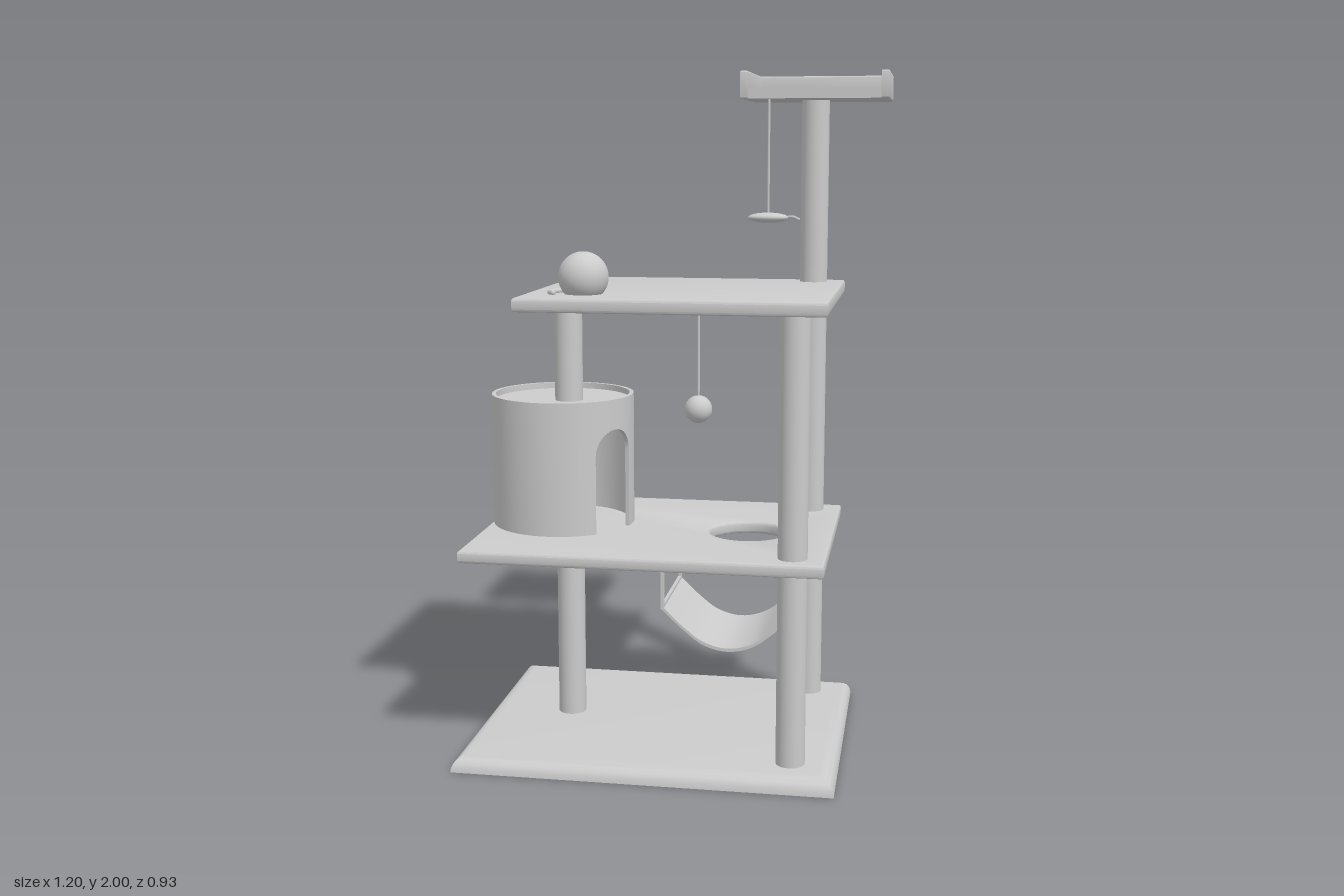
import * as THREE from 'three';
import { toCreasedNormals } from 'three/addons/utils/BufferGeometryUtils.js';
import { ConvexGeometry } from 'three/addons/geometries/ConvexGeometry.js';

const V = (x, y, z) => new THREE.Vector3(x, y, z);

export function createModel() {
  const group = new THREE.Group();
  const grey = new THREE.MeshStandardMaterial({ color: 0xcccccc });

  const add = (name, geo, x = 0, y = 0, z = 0) => {
    const mesh = new THREE.Mesh(geo, grey);
    mesh.name = name;
    mesh.position.set(x, y, z);
    group.add(mesh);
    return mesh;
  };
  const box = (name, x0, x1, y0, y1, z0, z1) =>
    add(name, new THREE.BoxGeometry(x1 - x0, y1 - y0, z1 - z0), (x0 + x1) / 2, (y0 + y1) / 2, (z0 + z1) / 2);
  const rod = (name, r, x, z, y0, y1, sides = 32) =>
    add(name, new THREE.CylinderGeometry(r, r, y1 - y0, sides), x, (y0 + y1) / 2, z);

  // Horizontal slab with softened edges: outline in (x, z), optional round hole
  const slab = (name, outline, y0, y1, bevel, hole) => {
    const shape = new THREE.Shape(outline.map(([x, z]) => new THREE.Vector2(x, z)));
    if (hole) shape.holes.push(new THREE.Path().absarc(hole.x, hole.z, hole.r + bevel, 0, Math.PI * 2, true));
    const geo = new THREE.ExtrudeGeometry(shape, {
      depth: y1 - y0 - 2 * bevel, bevelThickness: bevel, bevelSize: bevel, bevelSegments: 3, curveSegments: 32,
    });
    geo.rotateX(Math.PI / 2);
    return add(name, toCreasedNormals(geo, 0.6), 0, y1 - bevel, 0);
  };
  const rect = (x0, x1, z0, z1, inset = 0) => [
    [x0 + inset, z0 + inset], [x1 - inset, z0 + inset], [x1 - inset, z1 - inset], [x0 + inset, z1 - inset],
  ];

  // Base with rounded, mitred top edge
  const basePoints = [];
  for (let i = 0; i <= 6; i++) {
    const a = (i / 6) * Math.PI / 2;
    const inset = 0.045 * (1 - Math.cos(a));
    for (const [x, z] of rect(-0.6, 0.503, -0.387, 0.463, inset)) basePoints.push(V(x, 0.045 * Math.sin(a), z));
  }
  add('base', toCreasedNormals(new ConvexGeometry(basePoints), 0.6));

  // Posts
  rod('tallPost', 0.042, 0.37, -0.27, 0.03, 1.93);
  rod('frontPost', 0.042, 0.37, 0.34, 0.03, 1.34);
  rod('sidePost', 0.042, -0.34, 0.027, 0.03, 1.34);

  // Shelves
  const b = 0.008;
  slab('middleShelf', rect(-0.578, 0.463, -0.34, 0.418, b), 0.61, 0.647, b, { x: 0.21, z: 0.05, r: 0.115 });
  slab('upperShelf', rect(-0.405, 0.463, -0.34, 0.418, b), 1.33, 1.37, b);

  // Top tray: floor plus a rim that is open at the front
  box('trayFloor', 0.164, 0.591, 1.92, 1.952, -0.46, -0.085);
  const c = 0.004;
  slab('trayRim', [
    [0.16 + c, -0.465 + c], [0.597 - c, -0.465 + c], [0.597 - c, -0.083 - c], [0.573 + c, -0.083 - c],
    [0.573 + c, -0.437 - c], [0.184 - c, -0.437 - c], [0.184 - c, -0.083 - c], [0.16 + c, -0.083 - c],
  ], 1.92, 2.0, c);

  // Round house: a rectangular wall section swept around, its lower edge raised over the arched door
  const hx = -0.365, hz = 0.003, floor = 0.645, roof = 1.045;
  const doorAngle = 0.535, doorHalf = 0.345;
  const columns = [];
  for (let i = 0; i <= 60; i++) {
    columns.push([doorAngle + doorHalf + (i / 60) * 2 * (Math.PI - doorHalf), floor]);
  }
  for (let i = 0; i <= 20; i++) {
    const t = -Math.cos((i / 20) * Math.PI);
    columns.push([doorAngle + doorHalf * t, 0.88 + 0.075 * Math.sqrt(Math.max(0, 1 - t * t))]);
  }
  const positions = [], index = [];
  columns.forEach(([a, low], i) => {
    for (const [r, y] of [[0.203, low], [0.215, low], [0.215, roof], [0.203, roof]]) {
      positions.push(hx + r * Math.cos(a), y, hz + r * Math.sin(a));
    }
    const next = (i + 1) % columns.length;
    for (let k = 0; k < 4; k++) {
      const l = (k + 1) % 4;
      const A = i * 4 + k, B = i * 4 + l, C = next * 4 + l, D = next * 4 + k;
      index.push(A, B, C, A, C, D);
    }
  });
  const wall = new THREE.BufferGeometry();
  wall.setAttribute('position', new THREE.Float32BufferAttribute(positions, 3));
  wall.setIndex(index);
  add('houseWall', toCreasedNormals(wall, 0.6));
  rod('houseRoof', 0.205, hx, hz, 1.013, 1.027, 64);

  // Hammock sling hung under the hole
  const mid = 0.163, z0 = -0.185, z1 = 0.15;
  const half = [[0.197, 0.42], [0.133, 0.36], [0.073, 0.317]];
  const sag = new THREE.CatmullRomCurve3([
    ...half.map(([d, y]) => V(mid - d, y, 0)), V(mid, 0.3, 0),
    ...half.slice().reverse().map(([d, y]) => V(mid + d, y, 0)),
  ]).getPoints(40);
  const sling = new THREE.Shape([
    ...sag.map(p => new THREE.Vector2(p.x, p.y)),
    ...sag.slice().reverse().map(p => new THREE.Vector2(p.x, p.y + 0.01)),
  ]);
  const slingGeo = new THREE.ExtrudeGeometry(sling, { depth: z1 - z0, bevelEnabled: false });
  add('hammockSling', toCreasedNormals(slingGeo, 0.6), 0, 0, z0);
  for (const x of [mid - 0.197, mid + 0.197]) {
    box('hammockBar', x - 0.005, x + 0.005, 0.42, 0.434, z0, z1);
    for (const z of [z0 + 0.006, z1 - 0.006]) box('hammockStrap', x - 0.005, x + 0.005, 0.425, 0.615, z - 0.006, z + 0.006);
  }

  // Hanging ball
  rod('ballString', 0.004, 0.027, -0.158, 1.0, 1.335, 8);
  add('hangingBall', new THREE.SphereGeometry(0.043, 32, 20), 0.027, 0.977, -0.158);

  // Hanging mouse toy with tail
  rod('mouseString', 0.004, 0.24, -0.147, 1.575, 1.925, 8);
  add('mouseBody', new THREE.SphereGeometry(1, 28, 16), 0.24, 1.57, -0.147).scale.set(0.062, 0.015, 0.03);
  const mouseTail = new THREE.CatmullRomCurve3([V(0.29, 1.57, -0.147), V(0.315, 1.573, -0.143), V(0.335, 1.564, -0.147)]);
  add('mouseTail', new THREE.TubeGeometry(mouseTail, 12, 0.004, 8));

  // Ball resting on the upper shelf, with a curled tail
  add('shelfBall', new THREE.SphereGeometry(0.0715, 40, 28), -0.237, 1.418, 0.264);
  const curl = new THREE.CatmullRomCurve3([
    V(-0.245, 1.375, 0.2), V(-0.29, 1.375, 0.208), V(-0.322, 1.375, 0.25), V(-0.328, 1.375, 0.285), V(-0.316, 1.375, 0.303),
  ]);
  add('shelfBallTail', new THREE.TubeGeometry(curl, 32, 0.008, 10));
  add('shelfBallTailTip', new THREE.SphereGeometry(0.008, 12, 8), -0.316, 1.375, 0.303);

  return group;
}
